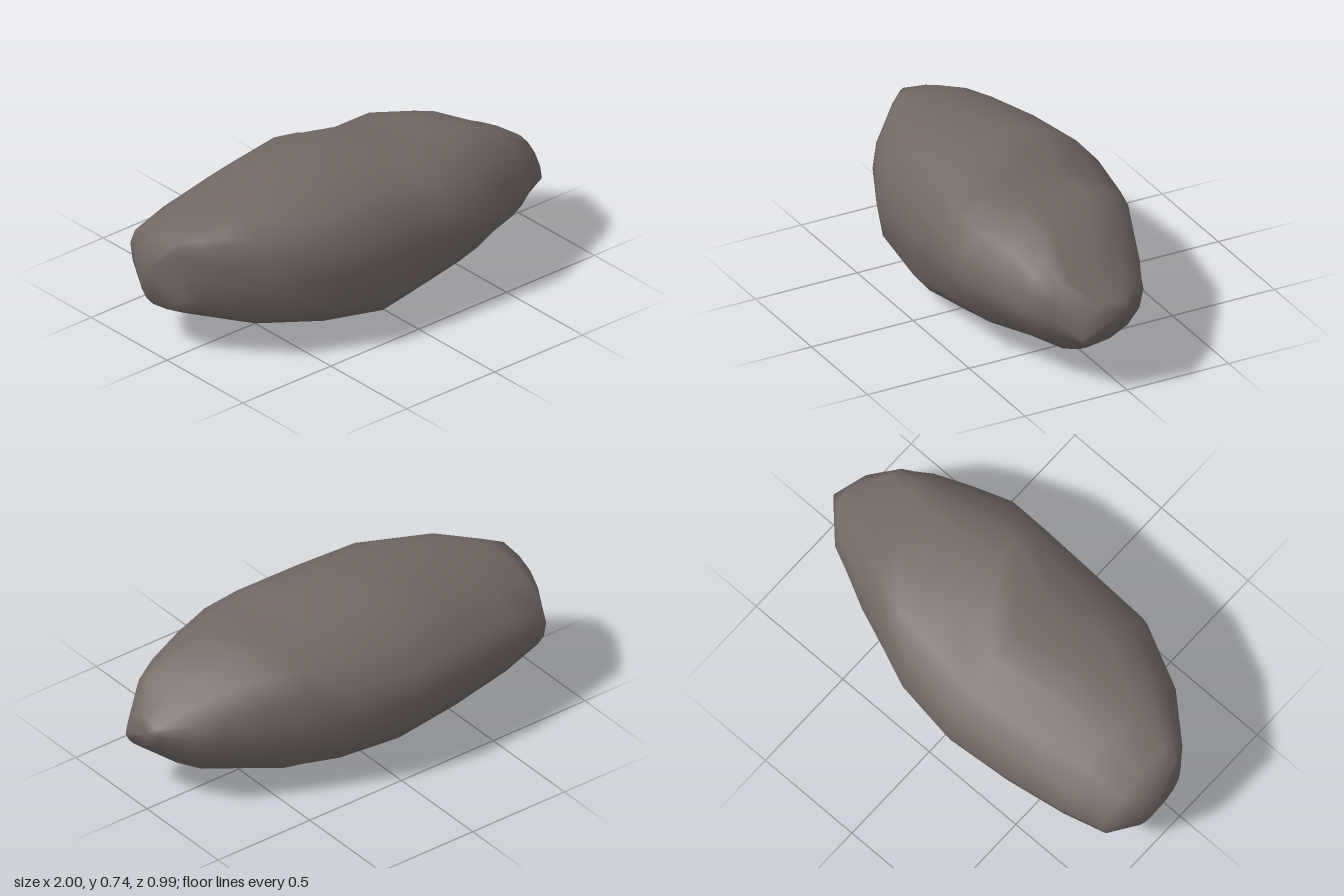
import * as THREE from 'three';

// Cross-sections along x: [x, topY, topZ, bottomY, bottomZ, frontZ, frontY, backZ, backY]
const sections = [
  [-0.96, 0.57, 0.02, 0.21, -0.14, 0.05, 0.42, -0.24, 0.38],
  [-0.89, 0.595, 0.02, 0.18, -0.16, 0.14, 0.40, -0.37, 0.39],
  [-0.69, 0.667, 0.06, 0.12, -0.14, 0.32, 0.38, -0.425, 0.40],
  [-0.40, 0.715, 0.02, 0.05, -0.10, 0.46, 0.38, -0.475, 0.40],
  [-0.09, 0.745, -0.05, 0.005, -0.07, 0.475, 0.38, -0.497, 0.38],
  [0.20, 0.687, 0.17, 0.005, -0.04, 0.48, 0.38, -0.45, 0.36],
  [0.38, 0.675, 0.16, 0.02, -0.04, 0.49, 0.38, -0.375, 0.36],
  [0.57, 0.655, 0.15, 0.06, 0.05, 0.425, 0.37, -0.30, 0.36],
  [0.73, 0.575, 0.18, 0.10, 0.09, 0.36, 0.35, -0.22, 0.37],
  [0.84, 0.52, 0.20, 0.165, 0.11, 0.285, 0.35, -0.17, 0.38],
  [0.96, 0.425, 0.06, 0.25, 0.15, 0.20, 0.28, -0.045, 0.38],
];
// Squareness of each section's quarters: below 1 bulges, above 1 flattens
// [front top, back top, back bottom, front bottom]
const quarters = [
  [0.7, 0.9, 0.9, 0.75],
  [0.75, 1.05, 1, 0.75],
  [0.9, 1.15, 1, 0.63],
  [0.9, 1.15, 1.05, 0.72],
  [0.9, 1.15, 1.05, 0.62],
  [0.95, 0.9, 1.05, 0.9],
  [1.05, 0.65, 1.05, 1.05],
  [1.1, 0.8, 1, 1.25],
  [1, 0.9, 0.95, 1.3],
  [0.95, 0.9, 0.95, 1.2],
  [1.1, 0.95, 1.2, 0.9],
];
const SIDES = 16;

// One ring point, running front -> top -> back -> bottom
function ringPoint(i, j) {
  const [x, ty, tz, by, bz, fz, fy, kz, ky] = sections[i];
  const power = quarters[i][Math.floor((j * 4) / SIDES)];
  const t = (j / SIDES) * Math.PI * 2;
  const c = Math.pow(Math.abs(Math.cos(t)), power);
  const s = Math.pow(Math.abs(Math.sin(t)), power);
  const front = Math.cos(t) >= 0, upper = Math.sin(t) >= 0;
  const midY = front ? fy : ky, midZ = upper ? tz : bz;
  return [
    x,
    THREE.MathUtils.lerp(midY, upper ? ty : by, s),
    THREE.MathUtils.lerp(midZ, front ? fz : kz, c),
  ];
}

function rockGeometry() {
  const pos = [], index = [];
  for (let i = 0; i < sections.length; i++)
    for (let j = 0; j < SIDES; j++) pos.push(...ringPoint(i, j));
  const last = sections.length - 1;
  const leftTip = sections.length * SIDES, rightTip = leftTip + 1;
  pos.push(-1, 0.38, -0.16, 1, 0.39, 0);

  for (let j = 0; j < SIDES; j++) {
    const k = (j + 1) % SIDES;
    for (let i = 0; i < last; i++) {
      const a = i * SIDES + j, b = i * SIDES + k;
      index.push(a, a + SIDES, b, b, a + SIDES, b + SIDES);
    }
    // closed ends
    index.push(leftTip, j, k, rightTip, last * SIDES + k, last * SIDES + j);
  }
  const geometry = new THREE.BufferGeometry();
  geometry.setAttribute('position', new THREE.Float32BufferAttribute(pos, 3));
  geometry.setIndex(index);
  geometry.computeVertexNormals();
  return geometry;
}

export function createModel() {
  const stone = new THREE.MeshStandardMaterial({ color: 0x736864 });
  stone.name = 'greyBrownStone';
  const rock = new THREE.Mesh(rockGeometry(), stone);
  rock.name = 'rock';
  const group = new THREE.Group();
  group.name = 'boulder';
  group.add(rock);
  return group;
}
